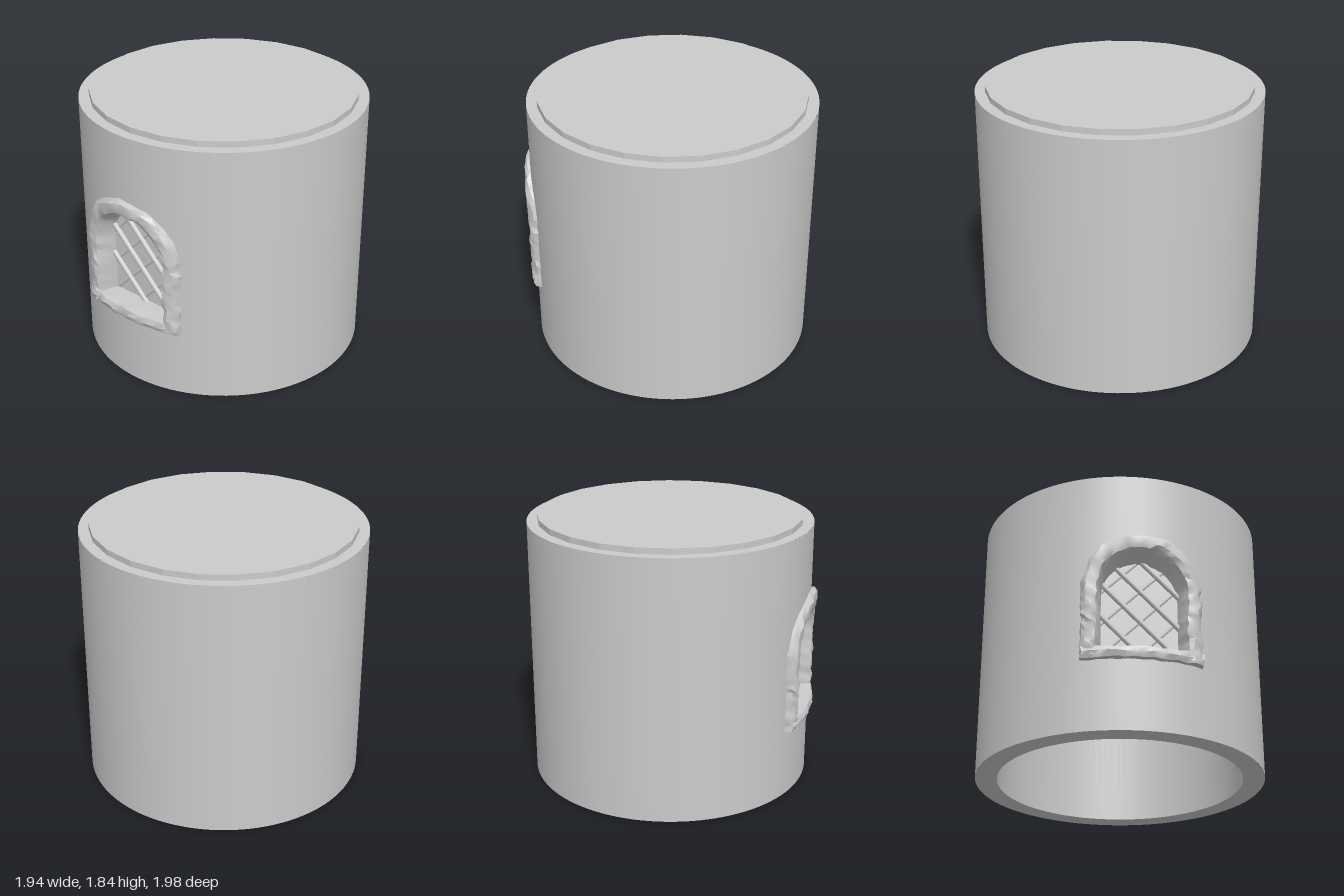
import * as THREE from 'three';
import { toCreasedNormals } from 'three/addons/utils/BufferGeometryUtils.js';

const R_OUT = 0.97, R_IN = 0.825, CZ = -0.025, WALL_H = 1.8;
const HOLE_W = 0.36, HOLE_BOTTOM = 0.5;

const grey = (opts = {}) => new THREE.MeshStandardMaterial({ color: 0xcccccc, ...opts });

// repeatable noise in -1..1
const noise = (a, b) => {
  const s = Math.sin(a * 127.1 + b * 311.7) * 43758.5453;
  return 2 * (s - Math.floor(s)) - 1;
};

// depth of the curved wall and of the window surround at a given x
const wallZ = (r, x) => Math.sqrt(r * r - x * x) + CZ;
const surroundBack = (x) => wallZ(R_IN, x) - 0.008;
const surroundFront = (x) => 0.985 - 0.45 * x * x;
const holeTop = (x) => 1.0 + 0.32 * Math.sqrt(Math.max(0, 1 - (x / 0.37) ** 2));

function add(parent, name, geometry, material) {
  const mesh = new THREE.Mesh(geometry, material);
  mesh.name = name;
  parent.add(mesh);
  return mesh;
}

// curved wall patch over the window width, between two heights
function wallPatch(r, bottom, top) {
  const a = Math.asin(HOLE_W / r);
  const g = new THREE.PlaneGeometry(2, 1, 32, 1);
  const p = g.attributes.position, n = g.attributes.normal;
  for (let i = 0; i < p.count; i++) {
    const t = p.getX(i) * a, x = r * Math.sin(t);
    p.setXYZ(i, x, p.getY(i) > 0 ? top(x) : bottom(x), r * Math.cos(t) + CZ);
    n.setXYZ(i, Math.sin(t), 0, Math.cos(t));
  }
  return g;
}

// thick round wall with an arched opening at the front
function buildWall() {
  const wall = new THREE.Group();
  wall.name = 'towerWall';
  const skins = [['outerWall', R_OUT, grey()], ['innerWall', R_IN, grey({ side: THREE.BackSide })]];
  for (const [name, r, mat] of skins) {
    const a = Math.asin(HOLE_W / r);
    const g = new THREE.CylinderGeometry(r, r, WALL_H, 96, 1, true, a, 2 * Math.PI - 2 * a);
    add(wall, name, g.translate(0, WALL_H / 2, CZ), mat);
    add(wall, name + 'BelowWindow', wallPatch(r, () => 0, () => HOLE_BOTTOM), mat);
    add(wall, name + 'AboveWindow', wallPatch(r, holeTop, () => WALL_H), mat);
    // slivers beside the opening are closed by the surround
  }
  const ring = () => new THREE.RingGeometry(R_IN, R_OUT, 96);
  add(wall, 'wallTop', ring().rotateX(-Math.PI / 2).translate(0, WALL_H, CZ), grey());
  add(wall, 'wallBottom', ring().rotateX(Math.PI / 2).translate(0, 0, CZ), grey());
  return wall;
}

// point on an arch outline: up the +x jamb, over the top, down the -x jamb
function archPoint(s, w, spring, apex) {
  if (s < 0.3) return [w, THREE.MathUtils.lerp(0.49, spring, s / 0.3)];
  if (s > 0.7) return [-w, THREE.MathUtils.lerp(spring, 0.49, (s - 0.7) / 0.3)];
  const a = ((s - 0.3) / 0.4) * Math.PI;
  return [w * Math.cos(a), spring + (apex - spring) * Math.sin(a)];
}

// rough stone arch swept from a profile of [half width, spring, apex, depth, roughness]
function archGeometry() {
  const profile = [
    [0.385, 1.0, 1.35, 0, 0],
    [0.388, 1.0, 1.355, 0.68, 0.008],
    [0.384, 1.0, 1.355, 0.88, 0.014],
    [0.362, 1.0, 1.33, 0.98, 0.012],
    [0.325, 0.99, 1.29, 1.0, 0.008],
    [0.295, 0.98, 1.255, 0.93, 0.010],
    [0.278, 0.97, 1.235, 0.72, 0.007],
    [0.25, 0.96, 1.22, 0.25, 0],
    [0.25, 0.96, 1.22, 0, 0],
  ];
  const steps = 52, m = profile.length, pos = [], idx = [];
  for (let i = 0; i <= steps; i++) {
    profile.forEach(([w, spring, apex, depth, rough], j) => {
      const k = rough * (0.6 * noise(i, j) + 0.7 * noise(Math.floor(i / 2), 20));
      const [x, y] = archPoint(i / steps, w + k, spring, apex + k);
      const z = THREE.MathUtils.lerp(surroundBack(x), surroundFront(x), depth);
      pos.push(x, y, z + rough * 0.8 * noise(j, i + 40));
      if (i < steps) {
        const a = i * m + j, c = i * m + ((j + 1) % m);
        idx.push(a, a + m, c + m, a, c + m, c);
      }
    });
  }
  const g = new THREE.BufferGeometry();
  g.setAttribute('position', new THREE.Float32BufferAttribute(pos, 3));
  g.setIndex(idx);
  return toCreasedNormals(g, 0.6);
}

// uneven stone slab curved along the wall
function sillGeometry() {
  const g = new THREE.BoxGeometry(0.78, 0.08, 1, 14, 2, 4);
  const p = g.attributes.position;
  for (let i = 0; i < p.count; i++) {
    const x = p.getX(i), y = p.getY(i), d = p.getZ(i) + 0.5;
    const key = Math.round(x * 100) + Math.round(y * 100) * 3.7;
    const k = d > 0.6 ? 0.006 : 0;
    const edge = d > 0.9 && Math.abs(y) > 0.03 ? 0.012 : 0;
    p.setXYZ(i, x + k * noise(key, d), y * (1 - edge * 8) + 0.511 + k * noise(d, key),
      THREE.MathUtils.lerp(surroundBack(x), surroundFront(x), d) - edge + k * noise(key, 7));
  }
  return toCreasedNormals(g, 0.6);
}

// diagonal bars clipped to the arched opening
function buildLattice() {
  const lattice = new THREE.Group();
  lattice.name = 'windowLattice';
  const inside = (x, y) => Math.abs(x) < 0.265 && y > 0.53 &&
    y < 0.96 + 0.275 * Math.sqrt(Math.max(0, 1 - (x / 0.265) ** 2));
  for (const dir of [-1, 1]) {
    for (const c of [0.57, 0.8, 1.02, 1.245]) {
      const xs = [];
      for (let x = -0.27; x <= 0.27; x += 0.005) if (inside(x, c + dir * x)) xs.push(x);
      if (xs.length < 2) continue;
      const x0 = xs[0], x1 = xs[xs.length - 1], mid = (x0 + x1) / 2;
      const g = new THREE.CylinderGeometry(0.018, 0.018, (x1 - x0) * Math.SQRT2, 10);
      const bar = add(lattice, 'latticeBar', g, grey());
      bar.rotation.z = -dir * Math.PI / 4;
      bar.position.set(mid, c + dir * mid, dir < 0 ? 0.808 : 0.788);
    }
  }
  return lattice;
}

// thin pane behind the bars
function paneGeometry() {
  const s = new THREE.Shape();
  for (let i = 0; i <= 40; i++) {
    const [x, y] = archPoint(i / 40, 0.262, 0.96, 1.232);
    if (i) s.lineTo(x, y); else s.moveTo(x, y);
  }
  return new THREE.ExtrudeGeometry(s, { depth: 0.008, bevelEnabled: false }).translate(0, 0, 0.79);
}

export function createModel() {
  const model = new THREE.Group();
  model.name = 'towerSection';
  model.add(buildWall());

  // faceted floor disc set into the top of the wall
  const disc = new THREE.CylinderGeometry(0.9, 0.9, 0.08, 24).translate(0, 1.8, CZ);
  add(model, 'topFloor', disc, grey({ flatShading: true }));

  const win = new THREE.Group();
  win.name = 'window';
  add(win, 'stoneArch', archGeometry(), grey());
  add(win, 'windowSill', sillGeometry(), grey());
  add(win, 'windowPane', paneGeometry(), grey());
  win.add(buildLattice());
  model.add(win);
  return model;
}
